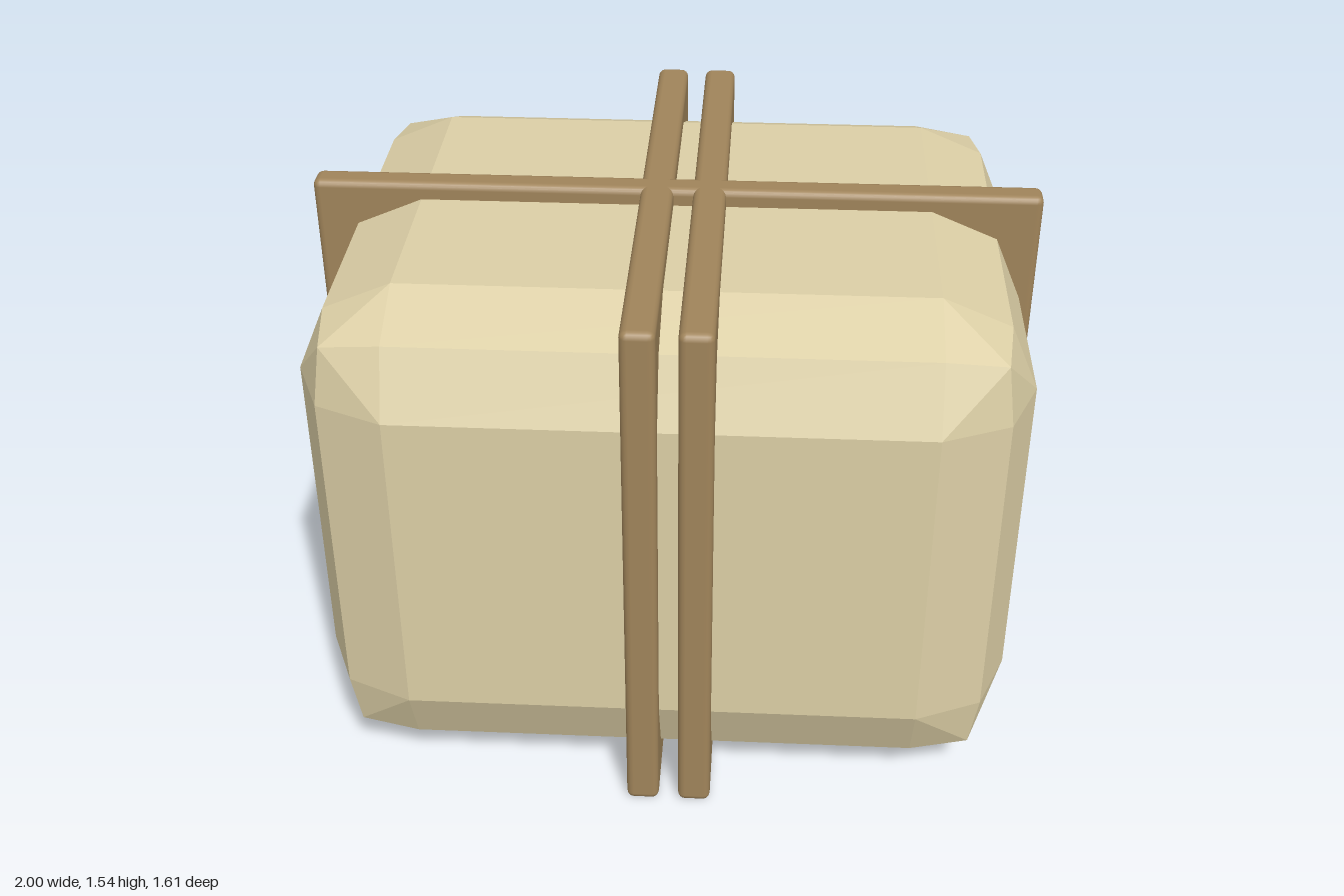
import * as THREE from 'three';
import { RoundedBoxGeometry } from 'three/addons/geometries/RoundedBoxGeometry.js';
import { ConvexGeometry } from 'three/addons/geometries/ConvexGeometry.js';

const CENTER_Y = 0.768;

// Faceted bale: a 4x4x4 grid box whose edges and corners are pulled inwards.
function baleGeometry() {
  const half = [0.96, 0.72, 0.767];
  const inset = 0.26;                  // start of the bevel on each face
  const pull = [0, 0, 0.078, 0.098];   // by number of faces met: face, edge, corner
  const steps = [-2, -1, 1, 2];
  const points = [];
  for (const i of steps) for (const j of steps) for (const k of steps) {
    const cell = [i, j, k];
    const outer = cell.filter((c) => Math.abs(c) === 2).length;
    if (outer === 0) continue;
    points.push(new THREE.Vector3(...cell.map((c, axis) =>
      Math.sign(c) * (half[axis] - (Math.abs(c) === 2 ? pull[outer] : inset)))));
  }
  return new ConvexGeometry(points);
}

export function createModel() {
  const group = new THREE.Group();
  const cloth = new THREE.MeshStandardMaterial({ color: 0xdccfa6, flatShading: true });
  const wood = new THREE.MeshStandardMaterial({ color: 0xa0845a });

  const add = (name, geometry, material, x = 0, z = 0) => {
    const mesh = new THREE.Mesh(geometry, material);
    mesh.name = name;
    mesh.position.set(x, CENTER_Y, z);
    group.add(mesh);
  };

  add('bale', baleGeometry(), cloth);

  // Upright bands wrapped around the bale: one lengthwise, a pair crosswise
  const height = CENTER_Y * 2;
  add('longBand', new RoundedBoxGeometry(2, height, 0.08, 2, 0.02), wood, 0, -0.003);
  add('rightCrossBand', new RoundedBoxGeometry(0.09, height, 1.61, 2, 0.02), wood, -0.05);
  add('leftCrossBand', new RoundedBoxGeometry(0.09, height, 1.61, 2, 0.02), wood, 0.094);

  return group;
}
